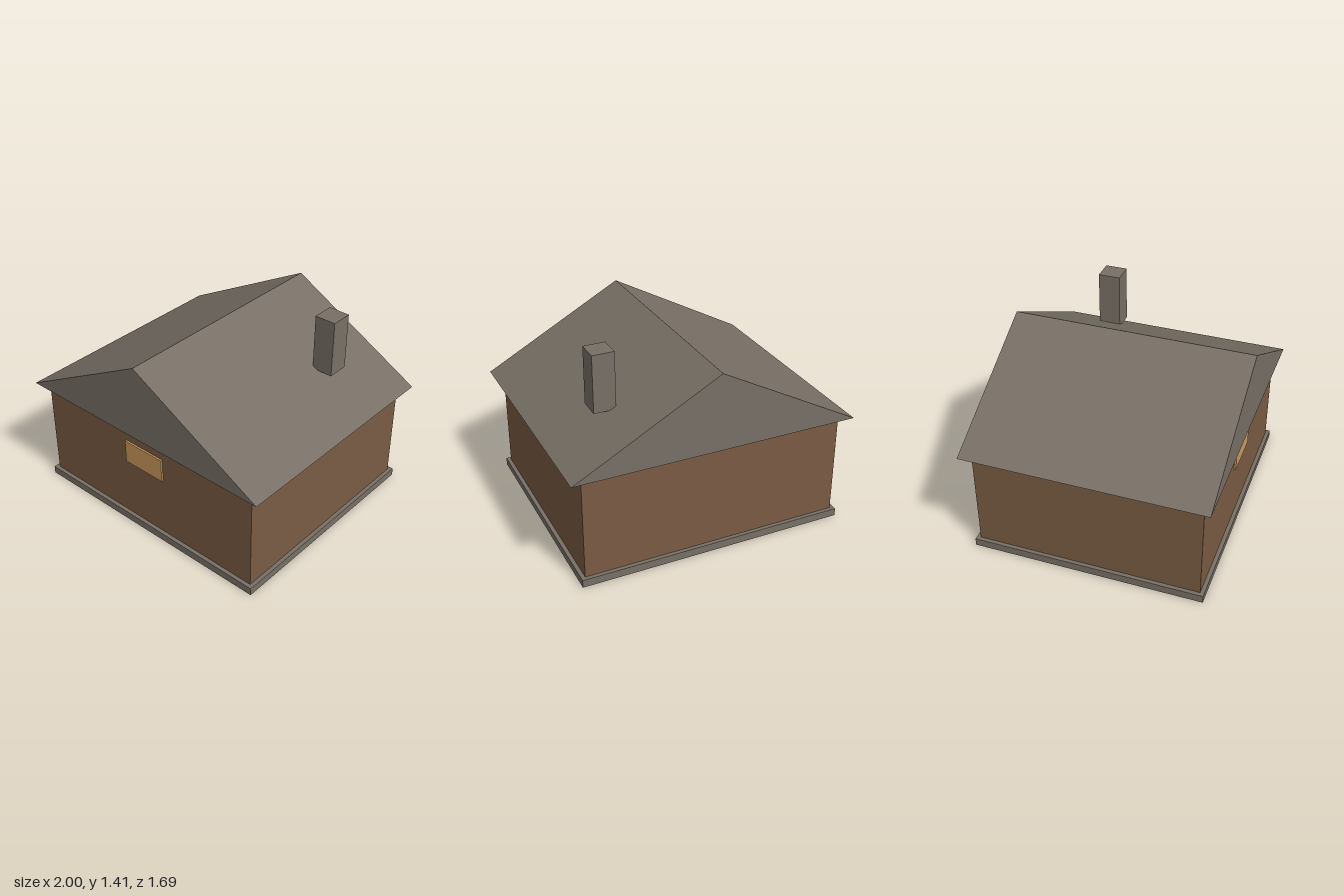
import * as THREE from 'three';

export function createModel() {
  const house = new THREE.Group();
  house.name = 'house';

  const material = (name, color) => {
    const m = new THREE.MeshStandardMaterial({ color });
    m.name = name;
    return m;
  };
  const stone = material('grey stone', 0x787066);
  const timber = material('brown timber', 0x7a5c44);
  const glow = material('warm window', 0xcb9a5e);

  const add = (name, geometry, mat) => {
    const mesh = new THREE.Mesh(geometry, mat);
    mesh.name = name;
    house.add(mesh);
  };
  // Box given by its lower and upper corners
  const box = (name, mat, [x0, y0, z0], [x1, y1, z1]) => {
    const g = new THREE.BoxGeometry(x1 - x0, y1 - y0, z1 - z0);
    g.translate((x0 + x1) / 2, (y0 + y1) / 2, (z0 + z1) / 2);
    add(name, g, mat);
  };

  // Foundation slab and walls
  box('foundation', stone, [-0.945, 0, -0.813], [0.945, 0.055, 0.813]);
  box('walls', timber, [-0.917, 0.05, -0.785], [0.917, 0.79, 0.785]);

  // Front window, standing slightly proud of the wall
  box('window', glow, [-0.165, 0.5, 0.78], [0.165, 0.67, 0.798]);

  // Gabled roof: a solid triangular prism along z
  const gable = new THREE.Shape([
    new THREE.Vector2(-1, 0.787),
    new THREE.Vector2(1, 0.787),
    new THREE.Vector2(0, 1.33),
  ]);
  const roof = new THREE.ExtrudeGeometry(gable, { depth: 1.69, bevelEnabled: false });
  roof.translate(0, 0, -0.845);
  add('roof', roof, stone);

  // Chimney on the left slope
  box('chimney', stone, [0.54, 1.013, -0.447], [0.692, 1.415, -0.292]);

  return house;
}
